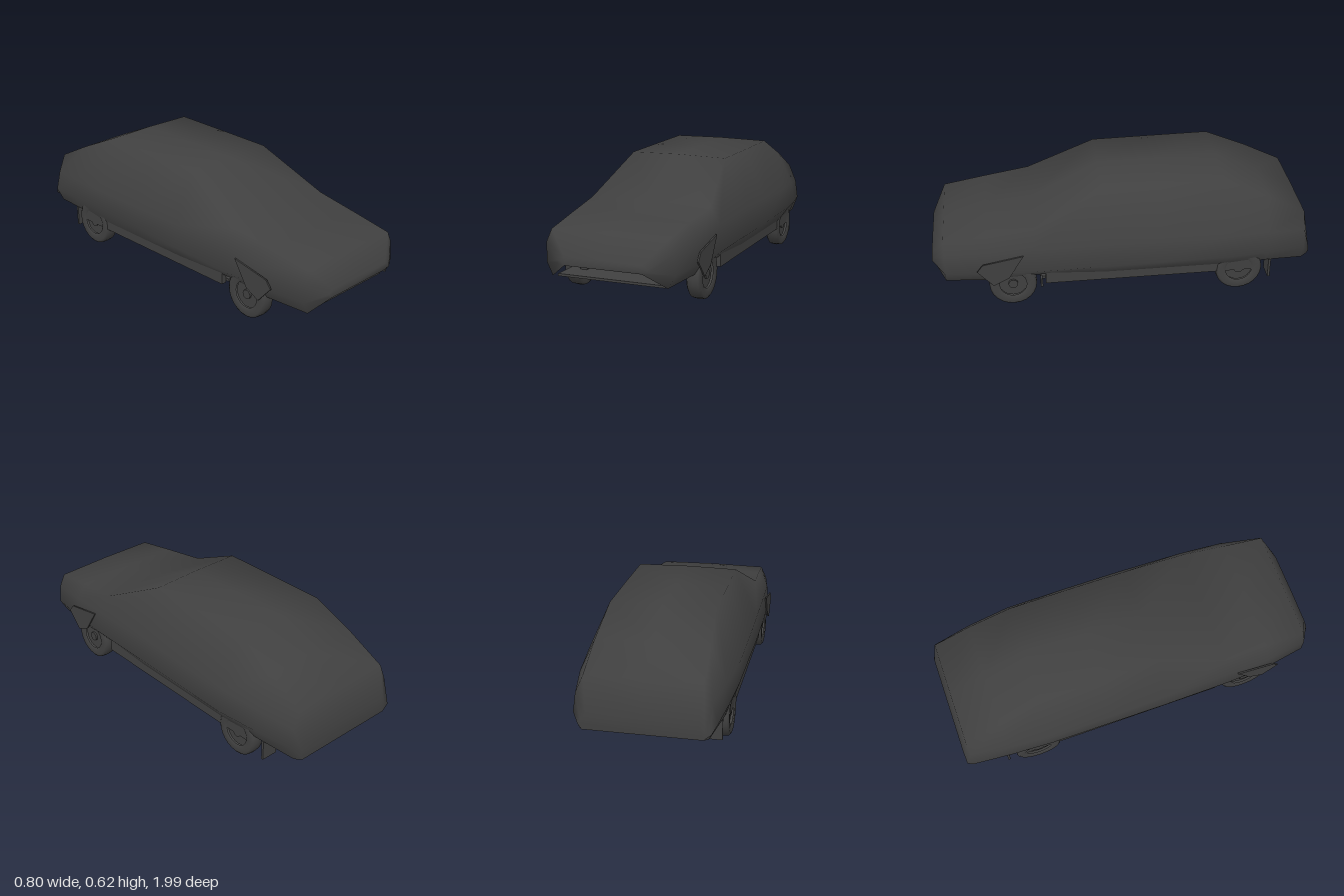
import * as THREE from 'three';

const bodyGrey = new THREE.MeshStandardMaterial({ name: 'bodyGrey', color: 0x404040, side: THREE.DoubleSide });
const X0 = -0.014; // the chassis centre line sits slightly off centre

// One cross-section per row, nose to tail:
// z, bottomY, low, midY, midRight, midLeft, shoulderY, shoulder, topY, top
const SECTIONS = [
  [0.992, 0.21, 0.20, 0.22, 0.22, 0.25, 0.235, 0.23, 0.25, 0.20],
  [0.925, 0.135, 0.30, 0.20, 0.325, 0.345, 0.30, 0.33, 0.365, 0.30],
  [0.70, 0.15, 0.34, 0.21, 0.358, 0.385, 0.32, 0.365, 0.40, 0.31],
  [0.46, 0.17, 0.35, 0.21, 0.37, 0.395, 0.34, 0.375, 0.432, 0.325],
  [0.10, 0.165, 0.36, 0.22, 0.38, 0.40, 0.35, 0.382, 0.615, 0.262],
  [-0.20, 0.165, 0.36, 0.23, 0.39, 0.40, 0.35, 0.385, 0.618, 0.265],
  [-0.53, 0.165, 0.36, 0.24, 0.40, 0.40, 0.35, 0.385, 0.622, 0.265],
  [-0.76, 0.165, 0.35, 0.23, 0.365, 0.385, 0.34, 0.36, 0.517, 0.28],
  [-0.96, 0.14, 0.31, 0.22, 0.325, 0.365, 0.32, 0.325, 0.415, 0.285],
  [-0.997, 0.15, 0.29, 0.18, 0.295, 0.34, 0.20, 0.295, 0.23, 0.27],
];

function add(parent, name, geometry, x = 0, y = 0, z = 0) {
  const mesh = new THREE.Mesh(geometry, bodyGrey);
  mesh.name = name;
  mesh.position.set(x, y, z);
  parent.add(mesh);
  return mesh;
}

const box = (parent, name, w, h, d, x, y, z) =>
  add(parent, name, new THREE.BoxGeometry(w, h, d), x + X0, y, z);

// Rod between two points
function rod(parent, name, a, b, radius) {
  const curve = new THREE.LineCurve3(new THREE.Vector3(...a), new THREE.Vector3(...b));
  return add(parent, name, new THREE.TubeGeometry(curve, 1, radius, 8), X0);
}

// Smooth shell, open underneath
function shellGeometry() {
  const pos = [], index = [], n = 9;
  for (const [z, by, low, my, mr, ml, sy, s, ty, t] of SECTIONS) {
    const ring = [
      [X0 - low, by], [-ml, my], [X0 - s, sy], [X0 - t, ty], [X0, ty + 0.003],
      [X0 + t, ty - 0.003], [X0 + s, sy], [mr, my], [X0 + low, by],
    ];
    for (const [x, y] of ring) pos.push(x, y, z);
  }
  for (let i = 0; i < SECTIONS.length - 1; i++) {
    for (let j = 0; j < n - 1; j++) {
      const a = i * n + j, b = a + n;
      index.push(a, a + 1, b, a + 1, b + 1, b);
    }
  }
  // Nose and tail caps
  const last = (SECTIONS.length - 1) * n;
  for (let j = 1; j < n - 1; j++) {
    index.push(0, j + 1, j);
    index.push(last, last + j, last + j + 1);
  }
  const g = new THREE.BufferGeometry();
  g.setAttribute('position', new THREE.Float32BufferAttribute(pos, 3));
  g.setIndex(index);
  g.computeVertexNormals();
  return g;
}

// Thin plate drawn in the side plane, points are [z, y]
function sidePlate(points, thickness) {
  const shape = new THREE.Shape(points.map(([z, y]) => new THREE.Vector2(-z, y)));
  const g = new THREE.ExtrudeGeometry(shape, { depth: thickness, bevelEnabled: false });
  return g.rotateY(Math.PI / 2);
}

function createWheel() {
  const wheel = new THREE.Group();
  wheel.name = 'wheel';
  const profile = [
    [0.070, -0.030], [0.080, -0.036], [0.110, -0.037], [0.122, -0.028], [0.125, 0],
    [0.122, 0.028], [0.110, 0.037], [0.080, 0.036], [0.070, 0.030],
  ].map(([r, y]) => new THREE.Vector2(r, y));
  add(wheel, 'tyre', new THREE.LatheGeometry(profile, 24).rotateZ(Math.PI / 2));
  add(wheel, 'rim', new THREE.CylinderGeometry(0.073, 0.073, 0.04, 24).rotateZ(Math.PI / 2));
  add(wheel, 'hub', new THREE.CylinderGeometry(0.025, 0.025, 0.06, 12).rotateZ(Math.PI / 2));
  return wheel;
}

export function createModel() {
  const car = new THREE.Group();
  car.name = 'car';
  add(car, 'bodyShell', shellGeometry());

  // Floor, sills and tunnel
  const floor = new THREE.Group();
  floor.name = 'underbody';
  car.add(floor);
  box(floor, 'floorPan', 0.66, 0.015, 0.86, 0, 0.135, 0);
  box(floor, 'transmissionTunnel', 0.09, 0.025, 0.80, 0, 0.12, 0.02);
  box(floor, 'rearFloor', 0.50, 0.012, 0.50, 0, 0.22, -0.69);
  box(floor, 'frontValance', 0.56, 0.012, 0.18, 0, 0.137, 0.82);
  box(floor, 'rearValance', 0.56, 0.012, 0.08, 0, 0.15, -0.93);
  box(floor, 'engineSump', 0.20, 0.09, 0.20, 0, 0.145, 0.60);
  box(floor, 'gearbox', 0.12, 0.06, 0.18, 0, 0.13, 0.44);
  box(floor, 'fuelTank', 0.30, 0.06, 0.14, 0.03, 0.185, -0.82);
  box(floor, 'frontCrossMember', 0.44, 0.022, 0.05, 0, 0.095, 0.42);
  box(floor, 'rearCrossMember', 0.54, 0.03, 0.04, 0, 0.13, -0.44);

  for (const side of [-1, 1]) {
    box(floor, 'sill', 0.03, 0.065, 1.12, side * 0.345, 0.15, -0.15);
    box(floor, 'floorRib', 0.03, 0.025, 0.55, side * 0.19, 0.12, 0.12);
    box(floor, 'frontRail', 0.035, 0.04, 0.36, side * 0.20, 0.145, 0.62);
    box(floor, 'rearRail', 0.035, 0.04, 0.44, side * 0.22, 0.19, -0.66);
    box(floor, 'frontMudFlap', 0.06, 0.05, 0.012, side * 0.28, 0.085, 0.43);
    box(floor, 'rearMudFlap', 0.09, 0.11, 0.012, side * 0.30, 0.105, -0.78);
    rod(floor, 'frontArm', [side * 0.14, 0.11, 0.66], [side * 0.32, 0.11, 0.58], 0.013);
    rod(floor, 'frontLink', [side * 0.14, 0.11, 0.46], [side * 0.32, 0.11, 0.58], 0.013);
    rod(floor, 'trailingArm', [side * 0.20, 0.13, -0.40], [side * 0.26, 0.125, -0.61], 0.015);
    rod(floor, 'rearDamper', [side * 0.25, 0.12, -0.61], [side * 0.23, 0.27, -0.65], 0.018);
  }
  rod(floor, 'rearAxle', [-0.33, 0.125, -0.61], [0.33, 0.125, -0.61], 0.02);
  rod(floor, 'frontAxle', [-0.33, 0.125, 0.58], [0.33, 0.125, 0.58], 0.015);

  // Exhaust run
  const run = [[0.09, 0.10, 0.52], [0.09, 0.11, 0.05], [0.06, 0.11, -0.30], [0.14, 0.16, -0.55], [0.16, 0.14, -0.93]];
  const path = new THREE.CatmullRomCurve3(run.map(p => new THREE.Vector3(...p)));
  add(floor, 'exhaustPipe', new THREE.TubeGeometry(path, 24, 0.012, 8), X0);

  // Front wing flaps
  const flap = [[0.76, 0.23], [0.73, 0.27], [0.52, 0.31], [0.60, 0.18], [0.68, 0.14]];
  add(car, 'wingFlapLeft', sidePlate(flap, 0.008), 0.362);
  add(car, 'wingFlapRight', sidePlate(flap, 0.008), -0.397);

  // Wheels
  for (const z of [0.58, -0.61]) {
    for (const side of [-1, 1]) {
      const wheel = createWheel();
      wheel.position.set(X0 + side * 0.329, 0.125, z);
      car.add(wheel);
    }
  }
  return car;
}
